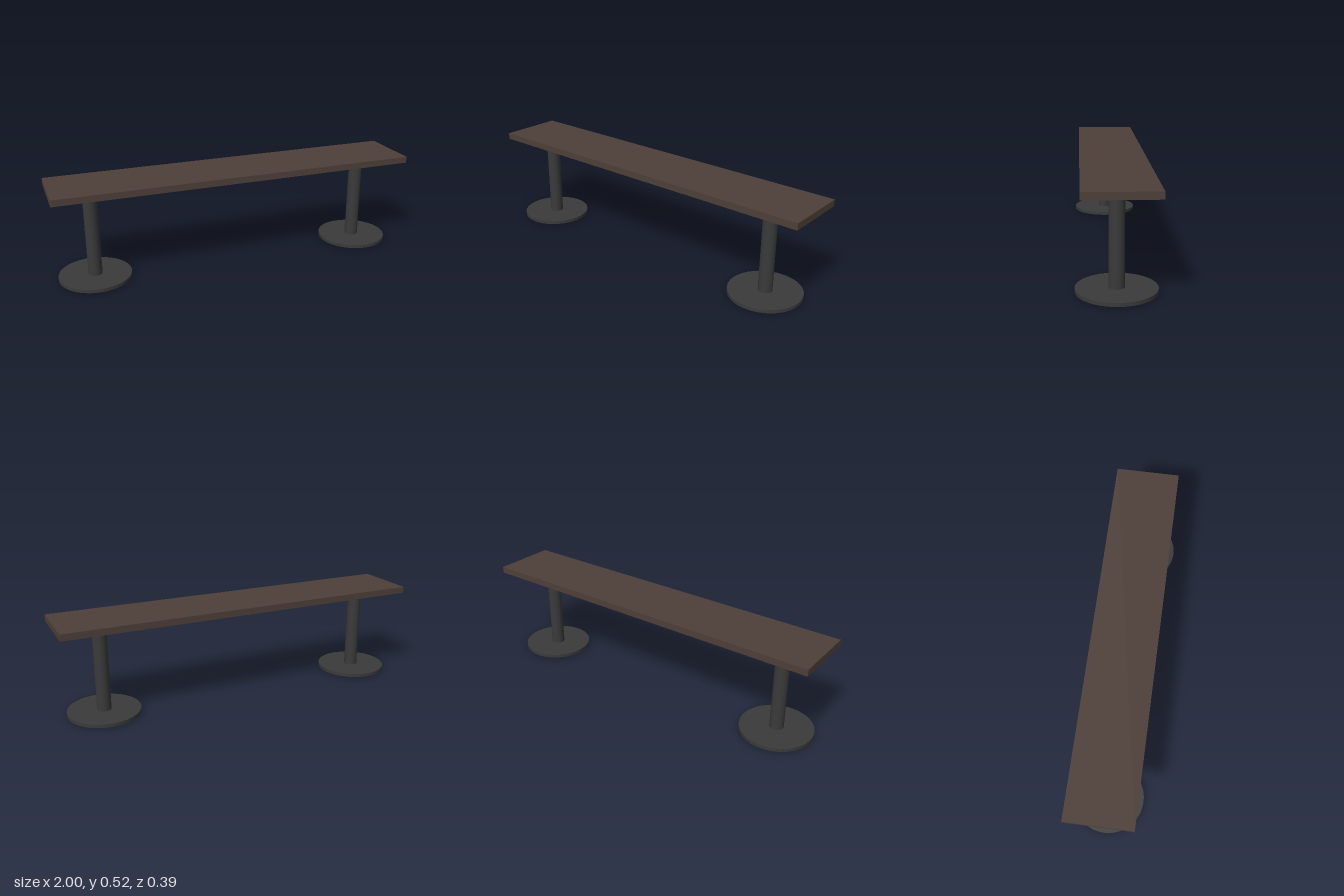
import * as THREE from 'three';

export function createModel() {
  const model = new THREE.Group();
  model.name = 'bench';
  const wood = new THREE.MeshStandardMaterial({ color: 0x4e3f39 });
  wood.name = 'dark brown wood';
  const metal = new THREE.MeshStandardMaterial({ color: 0x3a3a3a });
  metal.name = 'charcoal metal';

  const add = (parent, name, geometry, material, x, y, z) => {
    const mesh = new THREE.Mesh(geometry, material);
    mesh.name = name;
    mesh.position.set(x, y, z);
    parent.add(mesh);
  };

  // Seat plank, set slightly back from the pedestals
  add(model, 'seat', new THREE.BoxGeometry(2, 0.035, 0.354), wood, 0, 0.507, -0.01);

  // Upright cylinder between two heights
  const disc = (parent, name, radius, y0, y1, sides) => add(parent, name,
    new THREE.CylinderGeometry(radius, radius, y1 - y0, sides), metal, 0, (y0 + y1) / 2, 0);

  // Two pedestals: round post on a flat disc with a thin floor pad
  for (const [name, x] of [['leftPedestal', 0.767], ['rightPedestal', -0.788]]) {
    const pedestal = new THREE.Group();
    pedestal.name = name;
    pedestal.position.x = x;
    disc(pedestal, 'post', 0.0375, 0.02, 0.49, 32);
    disc(pedestal, 'base', 0.194, 0.003, 0.0215, 64);
    disc(pedestal, 'floorPad', 0.185, 0, 0.004, 64);
    model.add(pedestal);
  }
  return model;
}
